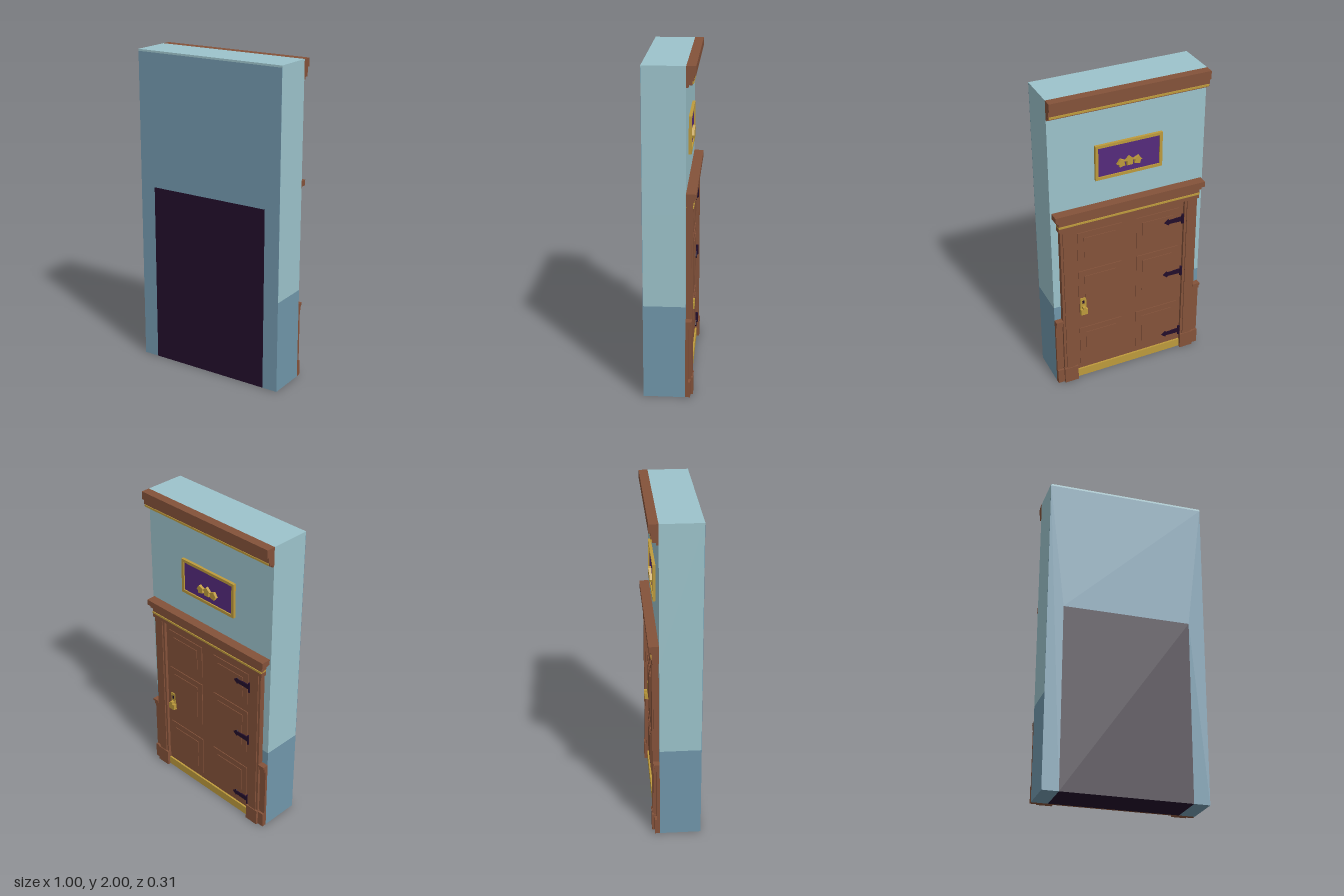
import * as THREE from 'three';

const mat = (name, color) => Object.assign(new THREE.MeshStandardMaterial({ color }), { name });

export function createModel() {
  const root = new THREE.Group();
  root.name = 'doorWall';
  const paleTeal = mat('paleTeal', 0x9cc3cb);
  const slateBlue = mat('slateBlue', 0x7096aa);
  const wood = mat('wood', 0x84523a);
  const gold = mat('gold', 0xbd9a3c);
  const purple = mat('purple', 0x552a7c);
  const dark = mat('darkPlum', 0x220d2a);
  const WALL = -0.095; // z of the wall face that carries the door

  // Box given by its extents
  const box = (name, m, x0, x1, y0, y1, z0, z1, parent = root) => {
    const mesh = new THREE.Mesh(new THREE.BoxGeometry(x1 - x0, y1 - y0, z1 - z0), m);
    mesh.position.set((x0 + x1) / 2, (y0 + y1) / 2, (z0 + z1) / 2);
    mesh.name = name;
    parent.add(mesh);
    return mesh;
  };
  // Box standing out from the wall to depth z
  const relief = (name, m, x0, x1, y0, y1, z, parent) => box(name, m, x0, x1, y0, y1, z, WALL, parent);
  // Same relief on both sides of x = 0
  const pair = (name, m, x0, x1, y0, y1, z) => {
    relief(name + 'Left', m, x0, x1, y0, y1, z);
    relief(name + 'Right', m, -x1, -x0, y0, y1, z);
  };
  // Flat outline extruded towards -z
  const plate = (name, m, pts, z, depth, parent) => {
    const shape = new THREE.Shape(pts.map(([x, y]) => new THREE.Vector2(x, y)));
    const mesh = new THREE.Mesh(new THREE.ExtrudeGeometry(shape, { depth, bevelEnabled: false }), m);
    mesh.position.z = z - depth;
    mesh.name = name;
    parent.add(mesh);
    return mesh;
  };

  // Wall: header over two piers, darker below the dado line
  box('wallHeader', paleTeal, -0.5, 0.5, 1.15, 2, WALL, 0.153);
  for (const [side, x0, x1] of [['Left', 0.4, 0.5], ['Right', -0.5, -0.4]]) {
    box('upperPier' + side, paleTeal, x0, x1, 0.585, 1.15, WALL, 0.153);
    box('lowerPier' + side, slateBlue, x0, x1, 0, 0.585, WALL, 0.153);
  }
  box('darkOpening', dark, -0.4, 0.4, 0, 1.15, WALL, 0.155);
  plate('frontSkin', slateBlue,
    [[-0.5, 0], [-0.4, 0], [-0.4, 1.15], [0.4, 1.15], [0.4, 0], [0.5, 0], [0.5, 1.988], [-0.5, 1.988]],
    0.155, 0.002, root);
  box('frontTopEdge', paleTeal, -0.5, 0.5, 1.988, 2, 0.153, 0.155);

  // Crown moulding along the top
  const crown = [[1.95, 2, -0.15], [1.915, 1.95, -0.137], [1.895, 1.915, -0.13], [1.88, 1.895, -0.108]];
  crown.forEach(([y0, y1, z], i) => relief('crownMoulding' + i, wood, -0.5, 0.5, y0, y1, z));
  relief('crownBead', gold, -0.495, 0.495, 1.9, 1.912, -0.137);

  // Wainscot beside the door
  pair('wainscotPanel', wood, 0.455, 0.5, 0.1, 0.445, -0.112);
  pair('wainscotRail', wood, 0.455, 0.5, 0.445, 0.475, -0.122);
  pair('wainscotCap', wood, 0.452, 0.5, 0.475, 0.49, -0.132);
  pair('skirting', wood, 0.455, 0.5, 0, 0.1, -0.125);

  // Door casing and entablature
  pair('casing', wood, 0.37, 0.455, 0.1, 1.16, -0.128);
  pair('casingInnerStrip', wood, 0.385, 0.44, 0.1, 1.16, -0.135);
  pair('plinth', wood, 0.367, 0.458, 0, 0.11, -0.14);
  relief('frieze', wood, -0.465, 0.465, 1.15, 1.235, -0.135);
  relief('friezeBead', gold, -0.465, 0.465, 1.178, 1.19, -0.14);
  relief('friezeCap', wood, -0.475, 0.475, 1.215, 1.24, -0.143);
  relief('cornice', wood, -0.49, 0.49, 1.235, 1.27, -0.155);

  // Door leaf with six raised panels
  const door = new THREE.Group();
  door.name = 'door';
  root.add(door);
  relief('doorLeaf', wood, -0.37, 0.37, 0, 1.15, -0.11, door);
  relief('kickPlate', gold, -0.367, 0.367, 0.004, 0.06, -0.122, door);
  for (const [y0, y1] of [[0.1, 0.385], [0.51, 0.82], [0.88, 1.1]]) {
    for (const [x0, x1] of [[0.05, 0.34], [-0.34, -0.05]]) {
      relief('panel', wood, x0, x1, y0, y1, -0.115, door);
      relief('panelField', wood, x0 + 0.04, x1 - 0.04, y0 + 0.04, y1 - 0.04, -0.119, door);
    }
  }

  // Strap hinges
  for (const y of [0.14, 0.625, 1.02]) {
    plate('hingeStrap', dark,
      [[-0.37, y - 0.016], [-0.27, y - 0.013], [-0.262, y - 0.022], [-0.235, y],
        [-0.262, y + 0.022], [-0.27, y + 0.013], [-0.37, y + 0.016]], -0.117, 0.008, door);
    const pin = new THREE.Mesh(new THREE.CylinderGeometry(0.009, 0.009, 0.065, 10), dark);
    pin.name = 'hingePin';
    pin.position.set(-0.362, y, -0.122);
    door.add(pin);
  }

  // Handle plate, keyhole and grip
  relief('handlePlate', gold, 0.295, 0.335, 0.5, 0.62, -0.121, door);
  box('keyhole', dark, 0.308, 0.322, 0.58, 0.602, -0.123, -0.12, door);
  box('handleNeck', gold, 0.306, 0.324, 0.54, 0.562, -0.143, -0.12, door);
  box('handleGrip', gold, 0.292, 0.338, 0.505, 0.545, -0.14, -0.12, door);

  // Framed sign over the door
  const sign = new THREE.Group();
  sign.name = 'sign';
  root.add(sign);
  const W = 0.215, LOW = 1.43, HIGH = 1.655, RIM = 0.018;
  relief('signPanel', purple, -W + RIM, W - RIM, LOW + RIM, HIGH - RIM, -0.105, sign);
  relief('signFrameTop', gold, -W, W, HIGH - RIM, HIGH, -0.113, sign);
  relief('signFrameBottom', gold, -W, W, LOW, LOW + RIM, -0.113, sign);
  relief('signFrameLeft', gold, W - RIM, W, LOW + RIM, HIGH - RIM, -0.113, sign);
  relief('signFrameRight', gold, -W, -W + RIM, LOW + RIM, HIGH - RIM, -0.113, sign);

  // Three small gabled ornaments
  for (const [x, tilt, h] of [[0.047, -0.25, 0.05], [0, 0, 0.058], [-0.047, 0.25, 0.05]]) {
    const gable = plate('signOrnament', gold,
      [[-0.018, 0], [0.018, 0], [0.018, h * 0.5], [0.029, h * 0.5], [0, h], [-0.029, h * 0.5], [-0.018, h * 0.5]],
      -0.105, 0.017, sign);
    gable.position.x = x;
    gable.position.y = 1.492;
    gable.rotation.z = tilt;
  }
  return root;
}
